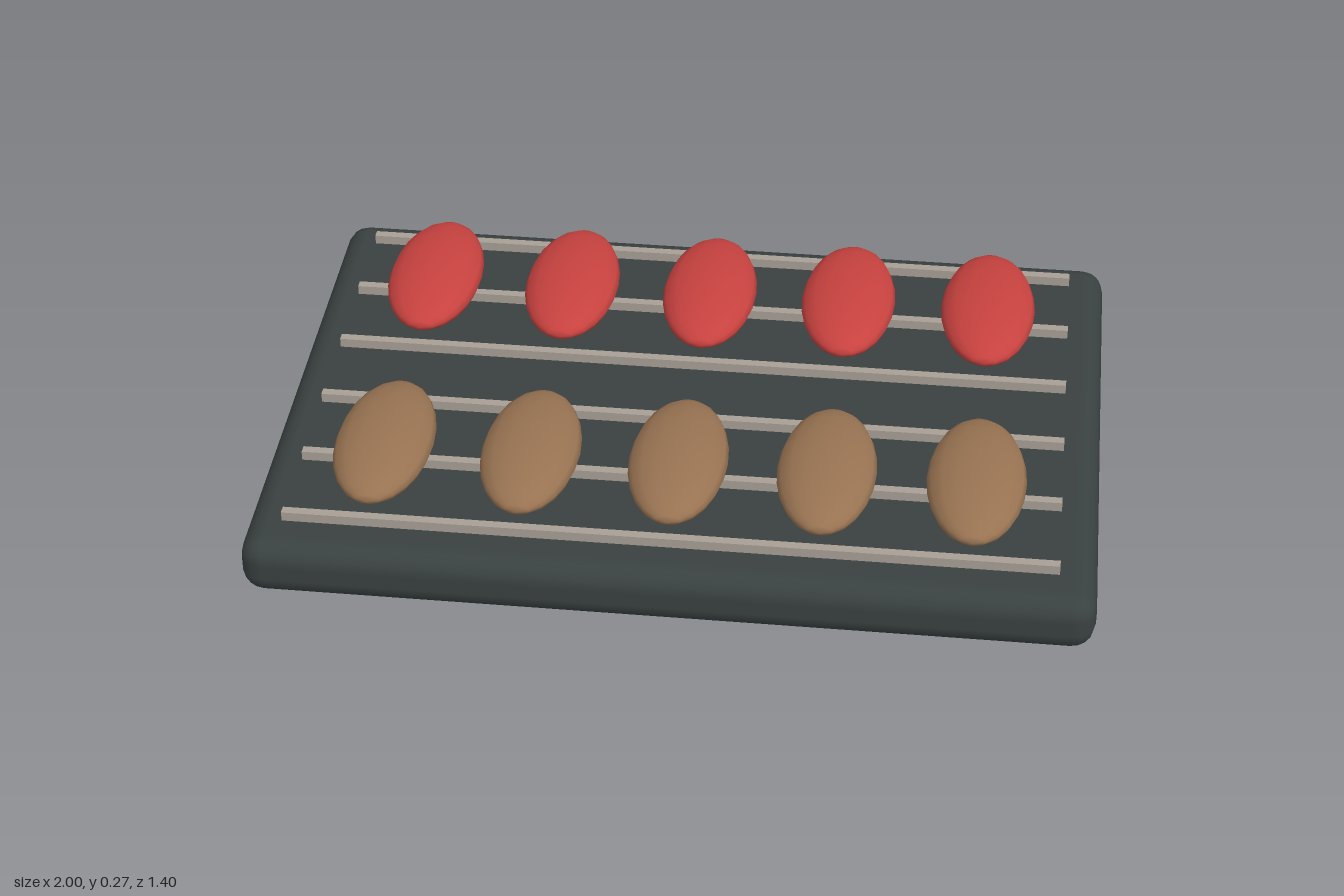
import * as THREE from 'three';
import { RoundedBoxGeometry } from 'three/addons/geometries/RoundedBoxGeometry.js';

const material = (name, color) => {
  const m = new THREE.MeshStandardMaterial({ color });
  m.name = name;
  return m;
};

export function createModel() {
  const group = new THREE.Group();
  group.name = 'grillTray';

  const charcoal = material('charcoal', 0x3a4141);
  const metal = material('warm grey metal', 0xa8a096);
  const brown = material('brown', 0x987352);
  const red = material('red', 0xc7423f);

  const add = (name, geometry, mat, x, y, z) => {
    const mesh = new THREE.Mesh(geometry, mat);
    mesh.name = name;
    mesh.position.set(x, y, z);
    group.add(mesh);
  };

  // Slab with softened edges
  add('base', new RoundedBoxGeometry(2, 0.147, 1.4, 2, 0.056), charcoal, 0, 0.0735, 0);

  // Thin rails running across, three under each row
  const rail = new THREE.BoxGeometry(1.82, 0.024, 0.022);
  for (const z of [-0.587, -0.352, -0.117, 0.117, 0.352, 0.587]) {
    add('rail', rail, metal, 0, 0.167, z);
  }

  // Two rows of flattened oval pieces, long axis front to back
  const piece = new THREE.SphereGeometry(1, 16, 12);
  piece.rotateX(Math.PI / 2);
  piece.scale(0.118, 0.051, 0.235);
  for (let i = -2; i <= 2; i++) {
    add('backPiece', piece, red, i * 0.353, 0.221, -0.353);
    add('frontPiece', piece, brown, i * 0.353, 0.221, 0.353);
  }

  return group;
}
